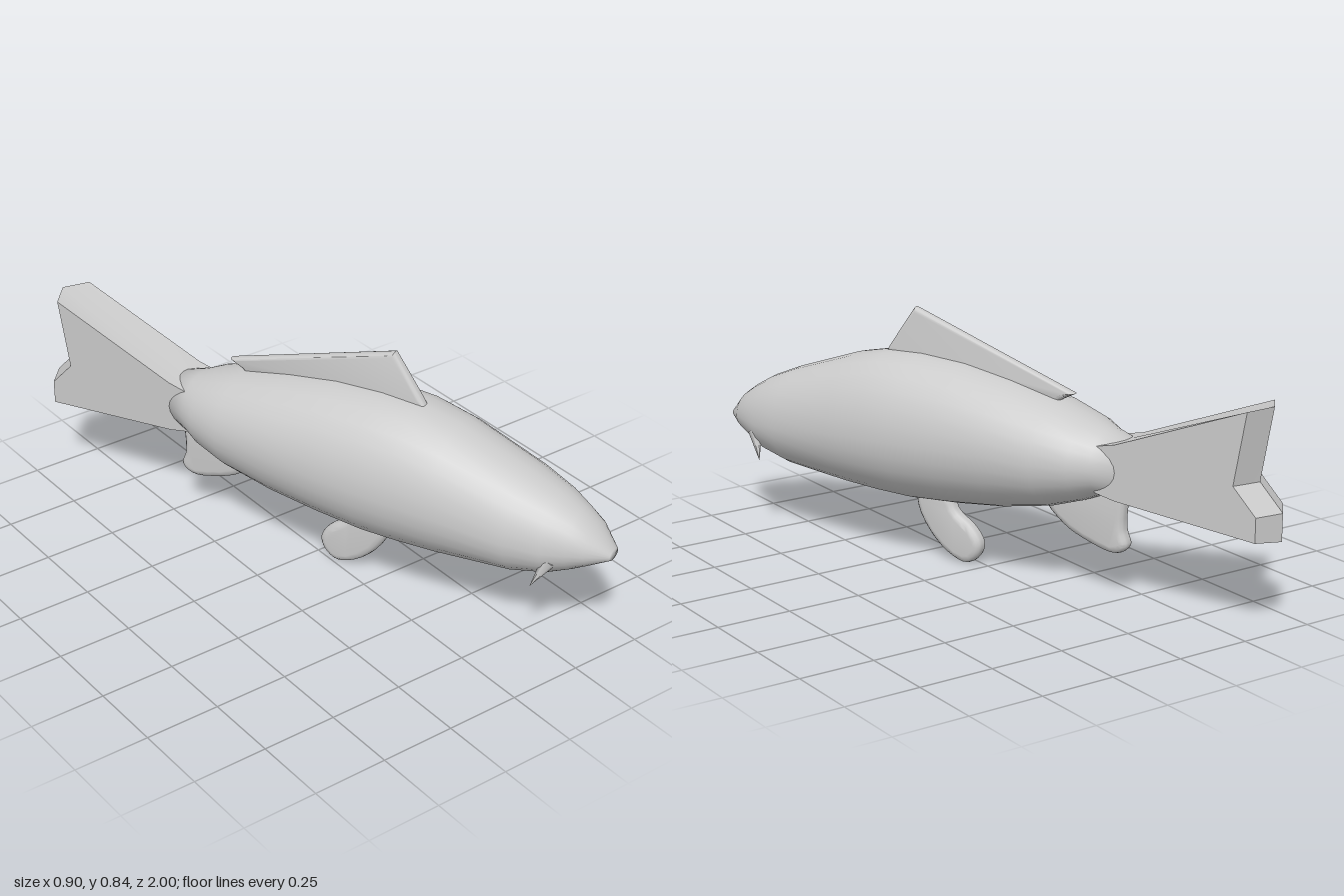
import * as THREE from 'three';
import { toCreasedNormals } from 'three/addons/utils/BufferGeometryUtils.js';

const material = new THREE.MeshStandardMaterial({ color: 0xcccccc, side: THREE.DoubleSide });

// Local frame: x across, y up, z along the fish towards the head
function add(group, name, geometry) {
  const mesh = new THREE.Mesh(geometry, material);
  mesh.name = name;
  group.add(mesh);
  return mesh;
}

// Loft of oval rings: [z, bottom, widest height, top, half width], head first
function loft(rings, sides) {
  const positions = [], index = [];
  for (const [z, bottom, mid, top, half] of rings) {
    for (let i = 0; i < sides; i++) {
      const a = (i / sides) * Math.PI * 2;
      const c = Math.cos(a), s = Math.sin(a);
      const x = Math.sign(c) * Math.pow(Math.abs(c), 0.92) * half;
      positions.push(x, mid + s * (s > 0 ? top - mid : mid - bottom), z);
    }
  }
  for (let r = 0; r < rings.length - 1; r++) {
    for (let i = 0; i < sides; i++) {
      const a = r * sides + i, b = r * sides + (i + 1) % sides;
      index.push(a, a + sides, b, b, a + sides, b + sides);
    }
  }
  // Close both ends
  const last = rings.length - 1;
  for (const r of [0, last]) {
    const centre = positions.length / 3;
    positions.push(0, rings[r][2], rings[r][0]);
    for (let i = 0; i < sides; i++) {
      const a = r * sides + i, b = r * sides + (i + 1) % sides;
      if (r === 0) index.push(centre, a, b);
      else index.push(centre, b, a);
    }
  }
  const g = new THREE.BufferGeometry();
  g.setAttribute('position', new THREE.Float32BufferAttribute(positions, 3));
  g.setIndex(index);
  g.computeVertexNormals();
  return g;
}

// Side outline of [z, y] points
function outline(points, round) {
  const v = points.map(([z, y]) => new THREE.Vector2(z, y));
  if (!round) return new THREE.Shape(v);
  return new THREE.Shape(new THREE.CatmullRomCurve3(
    v.map(p => new THREE.Vector3(p.x, p.y, 0)), true).getPoints(32).slice(0, -1)
    .map(p => new THREE.Vector2(p.x, p.y)));
}

// Thin fin with a softened edge
function finGeometry(points, thickness, round) {
  const bevel = thickness * 0.42;
  const g = new THREE.ExtrudeGeometry(outline(points, round), {
    depth: thickness - 2 * bevel, bevelThickness: bevel, bevelSize: bevel,
    bevelOffset: -bevel, bevelSegments: 3,
  });
  g.translate(0, 0, bevel - thickness / 2);
  g.rotateY(-Math.PI / 2);
  return toCreasedNormals(g, 0.7);
}

// Forked tail: thick wedge whose rear edge runs out to a central ridge
function tailGeometry() {
  const width = 0.176;
  const g = new THREE.ExtrudeGeometry(outline([
    [-0.46, 0.36], [-0.46, 0.51], [-0.53, 0.525], [-0.985, 0.70],
    [-0.945, 0.465], [-1.025, 0.38], [-1.025, 0.30], [-0.53, 0.345],
  ]), { depth: width, steps: 2, bevelEnabled: false });
  g.translate(0, 0, -width / 2);
  const p = g.attributes.position;
  for (let i = 0; i < p.count; i++) {
    if (Math.abs(p.getZ(i)) < 0.01 && p.getX(i) < -0.9) {
      p.setX(i, p.getX(i) - 0.045);
      if (p.getY(i) > 0.6) p.setY(i, p.getY(i) + 0.005);
      if (p.getY(i) < 0.32) p.setY(i, p.getY(i) - 0.01);
    }
  }
  g.rotateY(-Math.PI / 2);
  return toCreasedNormals(g, 0.5);
}

export function createModel() {
  const fish = new THREE.Group();
  fish.name = 'fish';

  add(fish, 'body', loft([
    [1.065, 0.352, 0.37, 0.385, 0.03],
    [1.00, 0.32, 0.38, 0.455, 0.085],
    [0.95, 0.293, 0.38, 0.49, 0.108],
    [0.88, 0.262, 0.38, 0.53, 0.14],
    [0.77, 0.235, 0.39, 0.575, 0.17],
    [0.52, 0.212, 0.42, 0.66, 0.205],
    [0.38, 0.205, 0.43, 0.69, 0.217],
    [0.25, 0.203, 0.435, 0.695, 0.222],
    [0.08, 0.215, 0.44, 0.685, 0.218],
    [-0.10, 0.235, 0.445, 0.655, 0.21],
    [-0.28, 0.27, 0.44, 0.615, 0.19],
    [-0.40, 0.31, 0.44, 0.575, 0.158],
    [-0.46, 0.335, 0.435, 0.548, 0.122],
    [-0.54, 0.345, 0.435, 0.525, 0.085],
  ], 28));

  add(fish, 'tail', tailGeometry());

  add(fish, 'dorsalFin', finGeometry([
    [0.40, 0.68], [0.385, 0.705], [0.284, 0.843], [-0.335, 0.64],
    [-0.285, 0.615], [-0.25, 0.58], [0.08, 0.64],
  ], 0.036, false));

  add(fish, 'ventralFin', finGeometry([
    [0.27, 0.23], [0.272, 0.165], [0.215, 0.075], [0.14, 0.018], [0.075, 0.002],
    [0.03, 0.035], [0.02, 0.08], [0.055, 0.13], [0.12, 0.175], [0.15, 0.23],
  ], 0.055, true));

  add(fish, 'analFin', finGeometry([
    [-0.23, 0.29], [-0.30, 0.21], [-0.40, 0.165], [-0.50, 0.146],
    [-0.54, 0.175], [-0.525, 0.23], [-0.515, 0.38], [-0.35, 0.38],
  ], 0.055, true));

  // Barbels hang from the mouth corners
  for (const side of [-1, 1]) {
    const base = new THREE.Vector3(side * 0.105, 0.345, 0.90);
    const tip = new THREE.Vector3(side * 0.14, 0.255, 0.855);
    const dir = tip.clone().sub(base);
    const barbel = add(fish, side > 0 ? 'leftBarbel' : 'rightBarbel',
      new THREE.ConeGeometry(0.024, dir.length(), 6));
    barbel.position.copy(base).add(tip).multiplyScalar(0.5);
    barbel.quaternion.setFromUnitVectors(new THREE.Vector3(0, 1, 0), dir.normalize());
  }

  // The fish swims at an angle to the front
  fish.rotation.y = 0.367;
  const model = new THREE.Group();
  model.name = 'fishModel';
  model.add(fish);
  return model;
}
